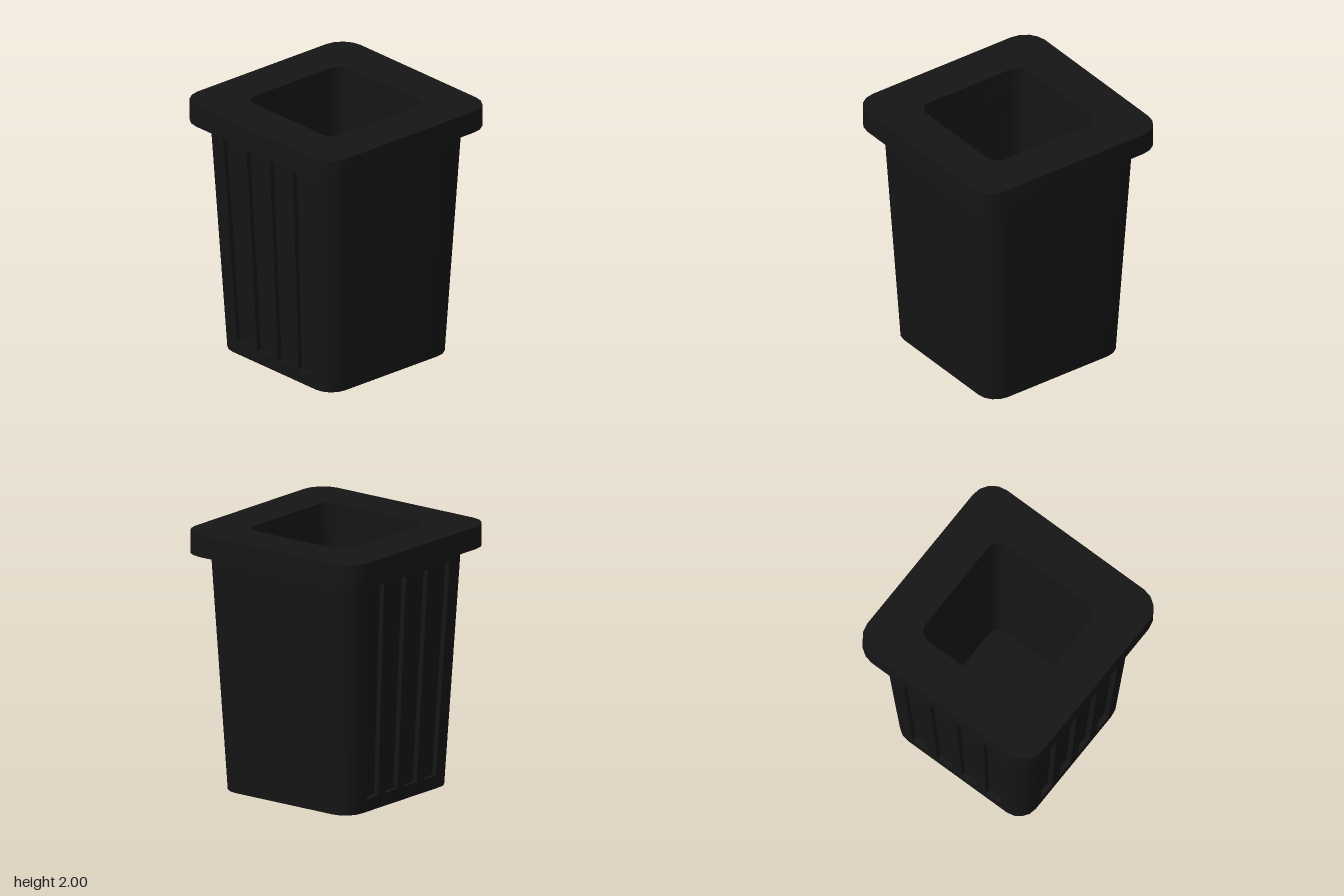
import * as THREE from 'three';
import { toCreasedNormals } from 'three/addons/utils/BufferGeometryUtils.js';

const material = new THREE.MeshStandardMaterial({ color: 0x151515 });
const CORNER_STEPS = 4;
const GROOVES = [-0.39, -0.13, 0.13, 0.39]; // centres, at the top of the body
const GROOVE_HALF = 0.08;
const TOP_HALF = 0.71;

// Rounded square section of half width h at height y. With grooves on, the
// -x and -z sides carry channels sunk by depth; they taper with the section.
function section(y, h, r, grooved = false, depth = 0) {
  const points = [];
  for (let side = 0; side < 4; side++) {
    const c = Math.round(Math.cos(side * Math.PI / 2));
    const s = Math.round(Math.sin(side * Math.PI / 2));
    const add = (u, v) => points.push(new THREE.Vector3(u * c - v * s, y, u * s + v * c));
    if (grooved && side >= 2) {
      for (const centre of GROOVES) {
        const a = (centre - GROOVE_HALF) * h / TOP_HALF;
        const b = (centre + GROOVE_HALF) * h / TOP_HALF;
        add(h, a);
        add(h - depth, a);
        add(h - depth, b);
        add(h, b);
      }
    }
    for (let i = 0; i <= CORNER_STEPS; i++) {
      const t = i / CORNER_STEPS * Math.PI / 2;
      add(h - r + r * Math.cos(t), h - r + r * Math.sin(t));
    }
  }
  return points;
}

// Skins a list of sections, leaving out triangles with no area.
function loft(name, rings) {
  const positions = [];
  const triangle = (a, b, c) => {
    const area = b.clone().sub(a).cross(c.clone().sub(a)).length();
    if (area > 1e-8) for (const p of [a, b, c]) positions.push(p.x, p.y, p.z);
  };
  for (let i = 0; i < rings.length - 1; i++) {
    const low = rings[i], high = rings[i + 1], n = low.length;
    for (let j = 0; j < n; j++) {
      const k = (j + 1) % n;
      triangle(low[j], high[j], low[k]);
      triangle(low[k], high[j], high[k]);
    }
  }
  const geometry = new THREE.BufferGeometry();
  geometry.setAttribute('position', new THREE.Float32BufferAttribute(positions, 3));
  const mesh = new THREE.Mesh(toCreasedNormals(geometry, 0.6), material);
  mesh.name = name;
  return mesh;
}

export function createModel() {
  const group = new THREE.Group();
  group.name = 'squareBin';

  // Tapered body with sunk channels on two sides and a closed base
  const bodyRing = (y, depth) => {
    const h = 0.615 + (TOP_HALF - 0.615) * y / 1.83;
    return section(y, h, h * 0.25, true, depth);
  };
  group.add(loft('body', [
    section(0, 0, 0, true),
    bodyRing(0, 0),
    bodyRing(0.1, 0),
    bodyRing(0.1, 0.04),
    bodyRing(1.75, 0.04),
    bodyRing(1.75, 0),
    bodyRing(1.83, 0),
  ]));

  // Overhanging rim with a square opening
  group.add(loft('rim', [
    section(1.83, 0.65, 0.15),
    section(1.83, 0.82, 0.18),
    section(2, 0.82, 0.18),
    section(2, 0.475, 0.1),
    section(1.83, 0.475, 0.1),
  ]));

  // Inner walls and floor
  group.add(loft('cavity', [
    section(1.83, 0.475, 0.1),
    section(0.12, 0.475, 0.1),
    section(0.12, 0, 0),
  ]));

  return group;
}
